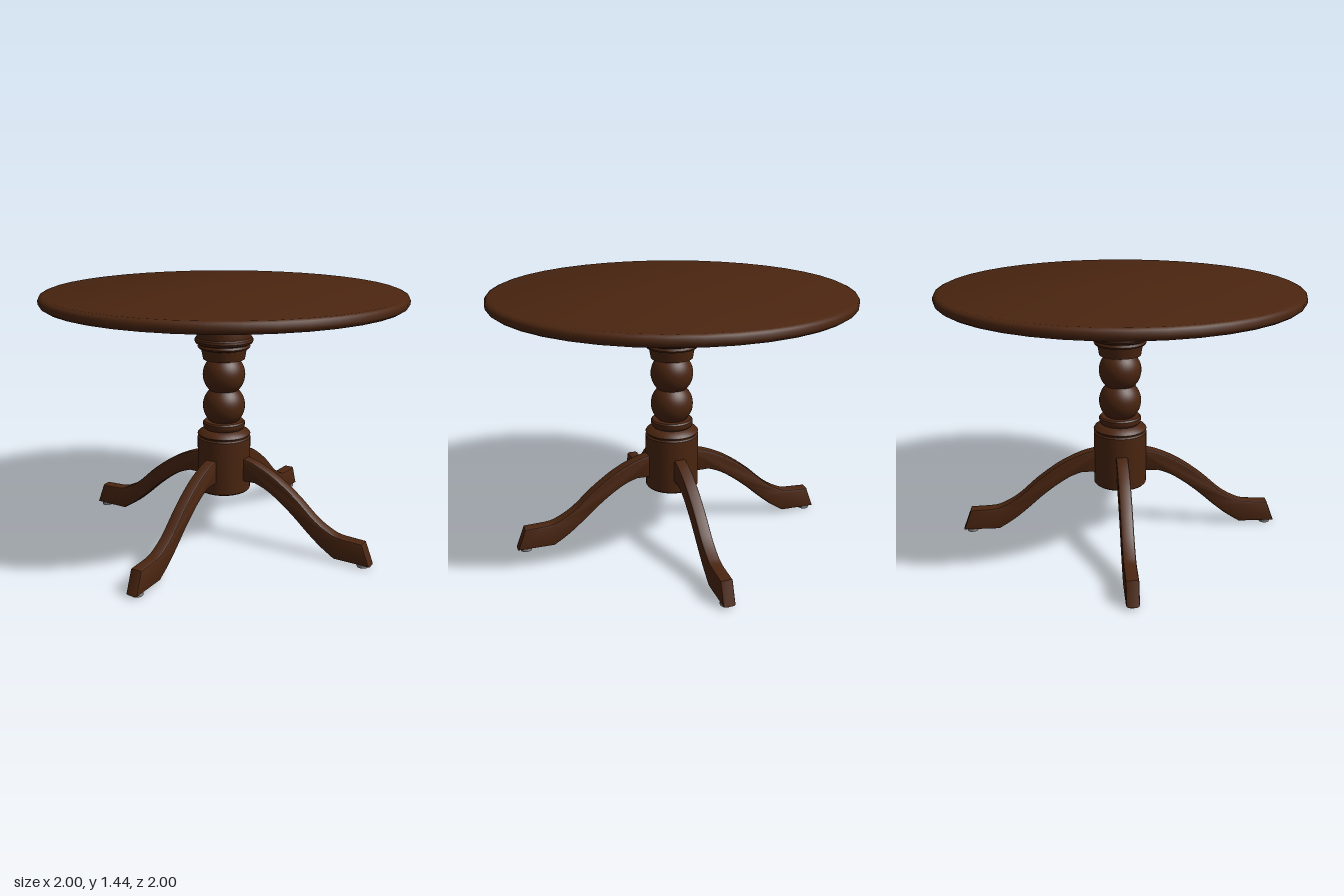
import * as THREE from 'three';
import { toCreasedNormals } from 'three/addons/utils/BufferGeometryUtils.js';

export function createModel() {
  const table = new THREE.Group();
  table.name = 'pedestalTable';
  const wood = new THREE.MeshStandardMaterial({ color: 0x4a2510 });
  wood.name = 'dark wood';
  const metal = new THREE.MeshStandardMaterial({ color: 0x858585 });
  metal.name = 'grey metal';

  const add = (parent, name, geometry, material) => {
    const mesh = new THREE.Mesh(geometry, material);
    mesh.name = name;
    parent.add(mesh);
    return mesh;
  };

  // Turned part: [radius, height] pairs from bottom to top
  const turned = (name, profile, segments = 32, crease = 0.6) => {
    const pts = profile.map(([r, y]) => new THREE.Vector2(r, y));
    return add(table, name, toCreasedNormals(new THREE.LatheGeometry(pts, segments), crease), wood);
  };

  // Round top with softened rim, and the mounting disc under it
  turned('tableTop', [[0, 1.38], [0.98, 1.38], [0.995, 1.39], [1, 1.4], [1, 1.42],
    [0.993, 1.432], [0.975, 1.44], [0, 1.44]], 40, 0.9);
  turned('mountingDisc', [[0, 1.348], [0.308, 1.348], [0.308, 1.38], [0, 1.38]]);

  // Column: base block with moulding
  turned('columnBase', [[0, 0.29], [0.146, 0.29], [0.152, 0.297], [0.152, 0.605], [0.143, 0.612],
    [0.143, 0.62], [0.152, 0.625], [0.145, 0.635], [0.12, 0.65], [0.108, 0.655], [0.117, 0.664],
    [0.12, 0.675], [0.12, 0.692], [0.112, 0.7], [0, 0.7]]);

  // Two stacked balls with flattened ends
  [0.79, 0.97].forEach((cy, i) => {
    const profile = [[0, cy - 0.092]];
    for (let k = 0; k <= 12; k++) {
      const a = -0.85 + (1.7 * k) / 12;
      profile.push([0.12 * Math.cos(a), cy + 0.122 * Math.sin(a)]);
    }
    profile.push([0, cy + 0.092]);
    turned(i ? 'upperBall' : 'lowerBall', profile);
  });

  // Collar with rings under the disc
  turned('columnCollar', [[0, 1.06], [0.118, 1.06], [0.128, 1.118], [0.142, 1.122], [0.148, 1.132],
    [0.142, 1.145], [0.158, 1.152], [0.165, 1.165], [0.162, 1.178], [0.154, 1.185],
    [0.154, 1.335], [0.148, 1.345], [0.148, 1.35], [0, 1.35]]);

  // Curved leg outline: x runs outwards from the column
  const outline = new THREE.Shape();
  outline.moveTo(0.1, 0.36);
  outline.lineTo(0.22, 0.362);
  outline.splineThru([[0.29, 0.335], [0.37, 0.285], [0.46, 0.215], [0.55, 0.135],
    [0.63, 0.07], [0.715, 0.015]].map(([x, y]) => new THREE.Vector2(x, y)));
  outline.lineTo(0.925, 0.015);
  outline.lineTo(0.878, 0.14);
  outline.lineTo(0.76, 0.145);
  outline.splineThru([[0.7, 0.158], [0.6, 0.215], [0.475, 0.325], [0.35, 0.415],
    [0.24, 0.47], [0.16, 0.495], [0.1, 0.5]].map(([x, y]) => new THREE.Vector2(x, y)));
  const legGeometry = toCreasedNormals(new THREE.ExtrudeGeometry(outline, {
    depth: 0.046, curveSegments: 14, bevelEnabled: true, bevelThickness: 0.012,
    bevelSize: 0.012, bevelOffset: -0.012, bevelSegments: 2,
  }).translate(0, 0, -0.023), 0.6);
  const glideGeometry = new THREE.CylinderGeometry(0.032, 0.032, 0.016, 16);

  // Four legs, each with a metal glide under the foot
  for (let i = 0; i < 4; i++) {
    const leg = new THREE.Group();
    leg.name = 'leg' + (i + 1);
    leg.rotation.y = -0.923 + (i * Math.PI) / 2;
    add(leg, 'curvedLeg', legGeometry, wood);
    add(leg, 'footGlide', glideGeometry, metal).position.set(0.875, 0.008, 0);
    table.add(leg);
  }

  // Screws holding the disc to the top
  const screwGeometry = new THREE.CylinderGeometry(0.02, 0.012, 0.016, 10);
  for (const sx of [-1, 1]) for (const sz of [-1, 1]) {
    add(table, 'discScrew', screwGeometry, metal).position.set(sx * 0.19, 1.341, sz * 0.17);
  }

  return table;
}
